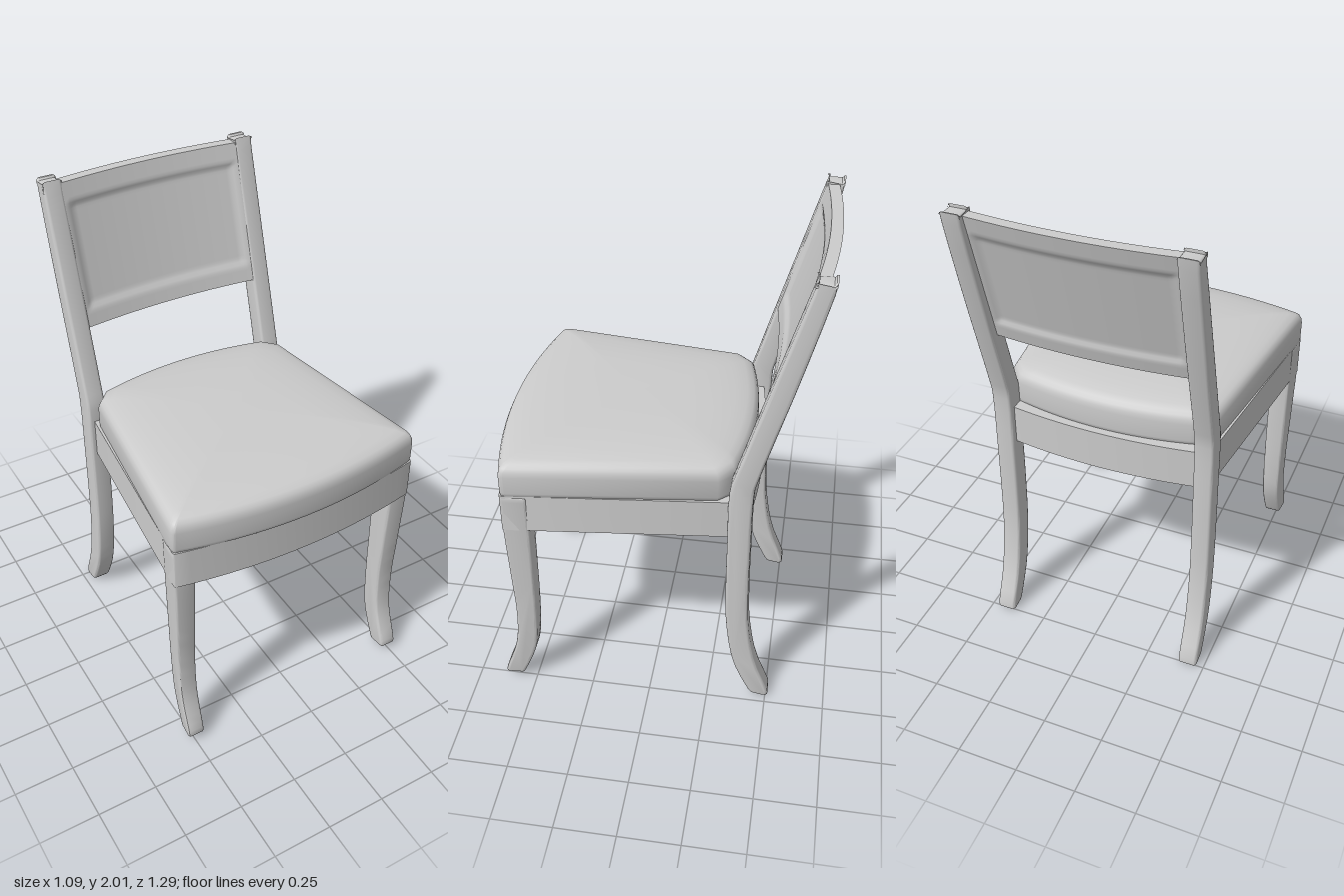
import * as THREE from 'three';
import { toCreasedNormals } from 'three/addons/utils/BufferGeometryUtils.js';

const paint = new THREE.MeshStandardMaterial({ color: 0xcccccc });
paint.name = 'plain grey';

function part(name, geometry) {
  const mesh = new THREE.Mesh(geometry, paint);
  mesh.name = name;
  return mesh;
}

// Moves every vertex of a geometry by a rule
function reshape(geometry, rule) {
  const p = geometry.attributes.position;
  const v = new THREE.Vector3();
  for (let i = 0; i < p.count; i++) {
    rule(v.fromBufferAttribute(p, i));
    p.setXYZ(i, v.x, v.y, v.z);
  }
  geometry.computeVertexNormals();
  return geometry;
}

// Side profile given as front and back edges [z, y], extruded between x0 and x1
function legGeometry(front, back, x0, x1, rule = () => {}) {
  const edge = (pts) => new THREE.SplineCurve(pts.map(([z, y]) => new THREE.Vector2(z, y))).getPoints(28);
  const shape = new THREE.Shape([...edge(back), ...edge(front).reverse()]);
  const bevel = 0.012;
  const g = new THREE.ExtrudeGeometry(shape, {
    depth: x1 - x0 - 2 * bevel, bevelEnabled: true, bevelSize: bevel,
    bevelThickness: bevel, bevelOffset: -bevel, bevelSegments: 3,
  });
  g.rotateY(-Math.PI / 2);
  g.translate(x1 - bevel, 0, 0);
  return toCreasedNormals(reshape(g, rule), 0.6);
}

// Closed plan outline with bowed front and back; points are (x, z)
function planOutline(o) {
  const s = new THREE.Shape();
  s.moveTo(-o.frontX, o.frontZ - o.corner);
  s.quadraticCurveTo(-o.frontX, o.frontZ, -o.frontX + o.corner * 0.6, o.frontZ + o.corner * 0.1);
  s.quadraticCurveTo(0, 2 * o.frontMid - o.frontZ, o.frontX - o.corner * 0.6, o.frontZ + o.corner * 0.1);
  s.quadraticCurveTo(o.frontX, o.frontZ, o.frontX, o.frontZ - o.corner);
  s.lineTo(o.backX, o.backZ + 0.06);
  s.lineTo(o.backX - 0.055, o.backZ);
  s.quadraticCurveTo(0, 2 * o.backMid - o.backZ, -o.backX + 0.055, o.backZ);
  s.lineTo(-o.backX, o.backZ + 0.06);
  const pts = s.getPoints(20);
  if (pts[0].distanceTo(pts[pts.length - 1]) < 1e-6) pts.pop();
  return pts;
}

// Domed cushion: scaled copies of the outline stacked in rings
function cushionGeometry() {
  const outline = planOutline({
    frontX: 0.545, frontZ: 0.57, frontMid: 0.641, corner: 0.025,
    backX: 0.443, backZ: -0.325, backMid: -0.375,
  });
  const rings = [
    [0.001, 1.03], [0.985, 1.03], [0.996, 1.036], [1, 1.05], [1, 1.125], [0.995, 1.145], [0.98, 1.162],
    [0.955, 1.174], [0.9, 1.184], [0.8, 1.194], [0.65, 1.203], [0.45, 1.209], [0.2, 1.212], [0.001, 1.213],
  ];
  const n = outline.length, cz = 0.12, pos = [], index = [];
  for (const [s, y] of rings) for (const p of outline) pos.push(p.x * s, y, cz + (p.y - cz) * s);
  for (let r = 0; r < rings.length - 1; r++) {
    for (let i = 0; i < n; i++) {
      const a = r * n + i, b = r * n + (i + 1) % n;
      index.push(a, b, b + n, a, b + n, a + n);
    }
  }
  const g = new THREE.BufferGeometry();
  g.setAttribute('position', new THREE.Float32BufferAttribute(pos, 3));
  g.setIndex(index);
  g.computeVertexNormals();
  return toCreasedNormals(g, 0.7);
}

// Apron ring of four rails with an open centre
function apronGeometry() {
  const flip = (pts) => pts.map((p) => new THREE.Vector2(p.x, -p.y));
  const shape = new THREE.Shape(flip(planOutline({
    frontX: 0.543, frontZ: 0.574, frontMid: 0.629, corner: 0.012,
    backX: 0.447, backZ: -0.372, backMid: -0.404,
  })));
  shape.holes.push(new THREE.Path(flip(planOutline({
    frontX: 0.496, frontZ: 0.525, frontMid: 0.583, corner: 0.01,
    backX: 0.408, backZ: -0.325, backMid: -0.355,
  }))));
  const g = new THREE.ExtrudeGeometry(shape, { depth: 0.17, bevelEnabled: false });
  g.rotateX(-Math.PI / 2);
  g.translate(0, 0.865, 0);
  return toCreasedNormals(g, 0.5);
}

// Tilted, bowed back panel with a bevelled recess on both faces
function backPanelGeometry() {
  return reshape(new THREE.BoxGeometry(0.8, 0.568, 1, 54, 48, 1), (v) => {
    const isFront = v.z > 0;
    v.y += 1.712;
    const inside = Math.min(0.385 - Math.abs(v.x), v.y - 1.49, 1.925 - v.y);
    const recess = 0.012 * THREE.MathUtils.smoothstep(inside, 0, 0.03);
    const front = -0.41 - (v.y - 1.43) * 0.29 - 0.026 * (1 - (v.x / 0.4) ** 2);
    v.z = isFront ? front - recess : front - 0.045 + recess;
  });
}

export function createModel() {
  const chair = new THREE.Group();
  chair.name = 'chair';

  // Rear posts sweep from the splayed foot up to the leaning back
  const rearFront = [[-0.44, 0.012], [-0.415, 0.05], [-0.352, 0.2], [-0.32, 0.4], [-0.311, 0.6],
    [-0.31, 0.85], [-0.31, 1.08], [-0.338, 1.2], [-0.455, 1.6], [-0.567, 1.98], [-0.578, 2]];
  const rearBack = [[-0.492, 0.003], [-0.51, 0.03], [-0.447, 0.2], [-0.412, 0.4], [-0.403, 0.6],
    [-0.402, 0.85], [-0.404, 1.08], [-0.428, 1.2], [-0.54, 1.6], [-0.637, 1.975], [-0.628, 2]];
  // Front legs curve forward at the foot
  const legFront = [[0.615, 0.03], [0.628, 0.055], [0.573, 0.22], [0.558, 0.4], [0.564, 0.6], [0.573, 0.85], [0.574, 1.03]];
  const legBack = [[0.565, 0.03], [0.545, 0.05], [0.489, 0.2], [0.473, 0.38], [0.469, 0.6], [0.467, 0.85], [0.467, 1.03]];
  const taper = (v) => {
    v.x = 0.453 + (v.x - 0.453) * (0.78 + 0.22 * Math.min(v.y, 1)) - (0.574 - v.z) * 0.08;
  };

  for (const side of [1, -1]) {
    const label = side > 0 ? 'left' : 'right';
    const mirrored = (v) => { v.x = side > 0 ? v.x : v.x - 0.86; };
    chair.add(part(label + 'RearPost', legGeometry(rearFront, rearBack, 0.39, 0.47, mirrored)));
    const leg = legGeometry(legFront, legBack, 0.453, 0.545, taper);
    if (side < 0) {
      // Mirror and restore the winding
      leg.scale(-1, 1, 1);
      for (const a of [leg.attributes.position, leg.attributes.normal]) {
        for (let i = 0; i < a.count; i += 3) {
          const b = [a.getX(i), a.getY(i), a.getZ(i)];
          a.setXYZ(i, a.getX(i + 1), a.getY(i + 1), a.getZ(i + 1));
          a.setXYZ(i + 1, ...b);
        }
      }
    }
    chair.add(part(label + 'FrontLeg', leg));
  }

  chair.add(part('apron', apronGeometry()));
  chair.add(part('seatCushion', cushionGeometry()));
  chair.add(part('backPanel', backPanelGeometry()));
  return chair;
}
